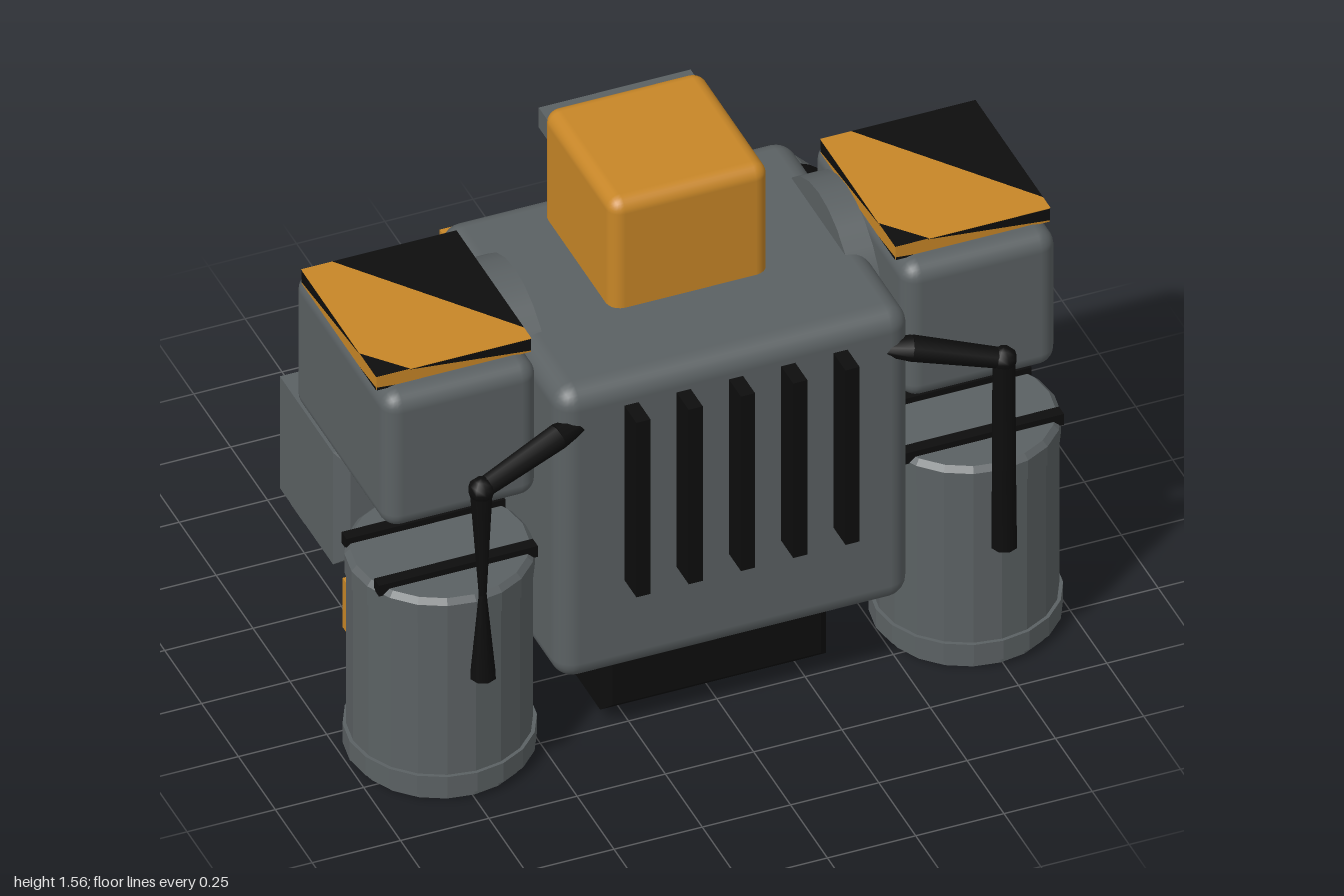
import * as THREE from 'three';
import { RoundedBoxGeometry } from 'three/addons/geometries/RoundedBoxGeometry.js';
import { mergeGeometries } from 'three/addons/utils/BufferGeometryUtils.js';

function material(name, color) {
  const m = new THREE.MeshStandardMaterial({ color });
  m.name = name;
  return m;
}

export function createModel() {
  const grey = material('gunmetal', 0x5b6163);
  const orange = material('safety orange', 0xc78627);
  const black = material('rubber black', 0x0d0d0d);
  const red = material('visor red', 0xc81f10);
  const blue = material('nozzle blue', 0x1e4c60);
  const root = new THREE.Group();
  root.name = 'robot';

  function add(name, geo, mat, x = 0, y = 0, z = 0, parent = root) {
    const m = new THREE.Mesh(geo, mat);
    m.name = name;
    m.position.set(x, y, z);
    parent.add(m);
    return m;
  }
  // Boxes are given by their extents: [min, max] on each axis
  function extents(name, make, mat, xs, ys, zs, parent) {
    const size = [xs, ys, zs].map(([a, b]) => b - a);
    const mid = [xs, ys, zs].map(([a, b]) => (a + b) / 2);
    return add(name, make(...size), mat, ...mid, parent);
  }
  const round = r => (w, h, d) => new RoundedBoxGeometry(w, h, d, 3, r);
  const plain = (w, h, d) => new THREE.BoxGeometry(w, h, d);
  const chamfer = b => (w, h, d) => {
    const x = w / 2 - b, y = h / 2 - b;
    const s = new THREE.Shape([[-x, -y], [x, -y], [x, y], [-x, y]].map(p => new THREE.Vector2(...p)));
    return new THREE.ExtrudeGeometry(s, {
      depth: d - 2 * b, bevelEnabled: true, bevelThickness: b, bevelSize: b, bevelSegments: 1,
    }).translate(0, 0, b - d / 2);
  };
  // Straight rod between two points
  function rod(name, a, b, r0, r1, parent) {
    const p = new THREE.Vector3(...a), q = new THREE.Vector3(...b);
    const dir = q.clone().sub(p);
    const m = add(name, new THREE.CylinderGeometry(r1, r0, dir.length(), 8), black,
      ...p.clone().add(q).multiplyScalar(0.5).toArray(), parent);
    m.quaternion.setFromUnitVectors(new THREE.Vector3(0, 1, 0), dir.normalize());
  }
  // Flat warning pattern: orange field with two black corners
  function hazard(w, h, flip = false) {
    const poly = pts => new THREE.ShapeGeometry(new THREE.Shape(pts.map(([u, v]) =>
      new THREE.Vector2(((flip ? 1 - u : u) - 0.5) * w, (v - 0.5) * h))));
    const field = poly([[0.22, 0], [1, 0], [1, 0.1], [0.2, 1], [0, 1], [0, 0.22]]);
    const corners = mergeGeometries([
      poly([[0.2, 1], [1, 0.1], [1, 1]]),
      poly([[0, 0], [0.22, 0], [0, 0.22]]),
    ]);
    return mergeGeometries([field, corners], true);
  }
  const paint = [orange, black];

  // Torso and waist
  extents('torso', round(0.06), grey, [-0.5, 0.5], [0.27, 1.215], [-0.215, 0.63]);
  extents('waist', chamfer(0.025), black, [-0.32, 0.32], [0.04, 0.3], [-0.085, 0.5]);
  for (let i = -2; i <= 2; i++)
    extents('vent', plain, black, [i * 0.148 - 0.02, i * 0.148 + 0.02], [0.57, 1.14], [0.6, 0.712]);

  // Chest armour with bolts and warning stripe
  extents('chestFrame', chamfer(0.025), grey, [-0.48, 0.48], [0.33, 1.03], [-0.325, -0.18]);
  extents('chestPlate', chamfer(0.02), grey, [-0.45, 0.45], [0.36, 1.01], [-0.352, -0.28]);
  for (const x of [-0.385, 0.385]) for (const y of [0.47, 0.86])
    add('chestBolt', new THREE.CylinderGeometry(0.038, 0.038, 0.03, 10).rotateX(Math.PI / 2), grey, x, y, -0.36);
  extents('stripeBacking', plain, orange, [-0.42, 0.42], [0.925, 1.05], [-0.373, -0.35]);
  add('chestStripe', hazard(0.84, 0.125), paint, 0, 0.9875, -0.375).rotation.y = Math.PI;

  // Head, brow and visor
  extents('head', round(0.04), orange, [-0.227, 0.223], [1.17, 1.56], [-0.14, 0.33]);
  extents('brow', chamfer(0.018), grey, [-0.215, 0.215], [1.45, 1.515], [-0.21, -0.12]);
  extents('visorFrame', plain, black, [-0.19, 0.19], [1.295, 1.445], [-0.168, -0.13]);
  const lens = new THREE.Shape([[-0.11, -0.05], [0.11, -0.05], [0.165, 0.06], [-0.165, 0.06]]
    .map(p => new THREE.Vector2(...p)));
  add('visorLens', new THREE.ShapeGeometry(lens), red, 0, 1.37, -0.171).rotation.y = Math.PI;

  // Shoulders, jets and hoses on both sides
  for (const s of [-1, 1]) {
    const side = new THREE.Group();
    side.name = s > 0 ? 'leftSide' : 'rightSide';
    root.add(side);
    const cx = s * 0.735;
    const span = (a, b) => s > 0 ? [a, b] : [-b, -a];

    add('shoulderJoint', new THREE.CylinderGeometry(0.25, 0.25, 0.08, 24).rotateZ(Math.PI / 2), grey, s * 0.47, 1.045, 0.16, side);
    add('shoulderPin', new THREE.CylinderGeometry(0.11, 0.11, 0.1, 16).rotateZ(Math.PI / 2), orange, s * 0.49, 1.04, 0.1, side);
    extents('shoulder', round(0.05), grey, span(0.517, 0.953), [0.838, 1.272], [-0.095, 0.54], side);
    extents('shoulderPlate', plain, orange, span(0.517, 0.953), [1.268, 1.31], [-0.03, 0.475], side);
    add('plateTopPaint', hazard(0.44, 0.509), paint, cx, 1.312, 0.2225, side).rotation.x = -Math.PI / 2;
    for (let k = 0; k < 4; k++) {
      const along = k % 2 ? 0.505 : 0.436;
      const out = (k % 2 ? 0.436 : 0.505) / 2 + 0.002;
      const a = k * Math.PI / 2;
      add('plateEdgePaint', hazard(along, 0.042, k % 2 === 1), paint,
        cx + Math.sin(a) * out, 1.289, 0.2225 + Math.cos(a) * out, side).rotation.y = a;
    }

    // Jet: turned shell with rims, top bars and glowing nozzle
    const jx = s * 0.745, jz = 0.405;
    const profile = [[0, 0.012], [0.17, 0.012], [0.17, 0], [0.235, 0], [0.235, 0.025], [0.255, 0.025], [0.255, 0.085],
      [0.245, 0.085], [0.245, 0.58], [0.25, 0.58], [0.25, 0.64], [0.235, 0.655], [0, 0.655]];
    const shell = new THREE.LatheGeometry(profile.map(p => new THREE.Vector2(...p)), 20).toNonIndexed();
    shell.computeVertexNormals();
    add('jetShell', shell, grey, jx, 0, jz, side);
    add('jetNozzle', new THREE.CylinderGeometry(0.15, 0.15, 0.008, 20), blue, jx, 0.008, jz, side);
    for (const dz of [-0.11, 0.11])
      add('jetBar', plain(0.45, 0.035, 0.035), black, jx, 0.655, jz + dz, side);
    extents('hipPlate', plain, orange, span(0.58, 0.91), [0.25, 0.41], [0.141, 0.17], side);
    add('hipPaint', hazard(0.33, 0.16), paint, jx, 0.33, 0.139, side).rotation.y = Math.PI;

    // Hose from the torso to the jet; the right one is pinched midway
    const elbow = [s * 0.74, 1.02, 0.675];
    rod('hoseArm', [s * 0.39, 1.105, 0.6], [s * 0.5, 1.085, 0.62], 0.015, 0.036, side);
    rod('hoseArm', [s * 0.5, 1.085, 0.62], elbow, 0.036, 0.028, side);
    add('hoseElbow', new THREE.SphereGeometry(0.036, 8, 6), black, ...elbow, side);
    const waist = s > 0 ? 0.034 : 0.011;
    rod('hoseUpper', elbow, [s * 0.738, 0.68, 0.68], 0.032, waist, side);
    rod('hoseLower', [s * 0.738, 0.68, 0.68], [s * 0.738, 0.415, 0.682], waist, 0.036, side);
  }

  // Cannon arm
  extents('cannonArm', chamfer(0.025), grey, [0.46, 0.81], [0.44, 0.81], [-0.34, 0.15]);
  const cannon = new THREE.Group();
  cannon.name = 'cannon';
  cannon.position.set(0.622, 0.578, 0);
  cannon.rotation.x = -Math.PI / 2;
  root.add(cannon);
  const barrel = [[0, 0.155], [0.19, 0.155], [0.208, 0.36], [0.203, 0.48], [0.182, 0.71], [0.115, 0.712], [0.115, 0.64], [0, 0.64]];
  const barrelGeo = new THREE.LatheGeometry(barrel.map(p => new THREE.Vector2(...p)), 20).toNonIndexed();
  barrelGeo.computeVertexNormals();
  add('barrel', barrelGeo, grey, 0, 0, 0, cannon);
  for (const d of [0.365, 0.482, 0.597])
    add('barrelRing', new THREE.CylinderGeometry(0.212, 0.212, 0.038, 24), black, 0, d, 0, cannon);
  add('muzzle', new THREE.CylinderGeometry(0.118, 0.118, 0.07, 20), black, 0, 0.678, 0, cannon);

  // Fist arm with three fingers
  extents('fist', chamfer(0.035), grey, [-0.905, -0.55], [0.4, 0.765], [-0.33, 0.1]);
  for (let i = 0; i < 3; i++) {
    const x = -0.83 + i * 0.1;
    extents('finger', chamfer(0.012), grey, [x - 0.04, x + 0.04], [0.33, 0.45], [-0.32, -0.2]);
  }
  return root;
}
